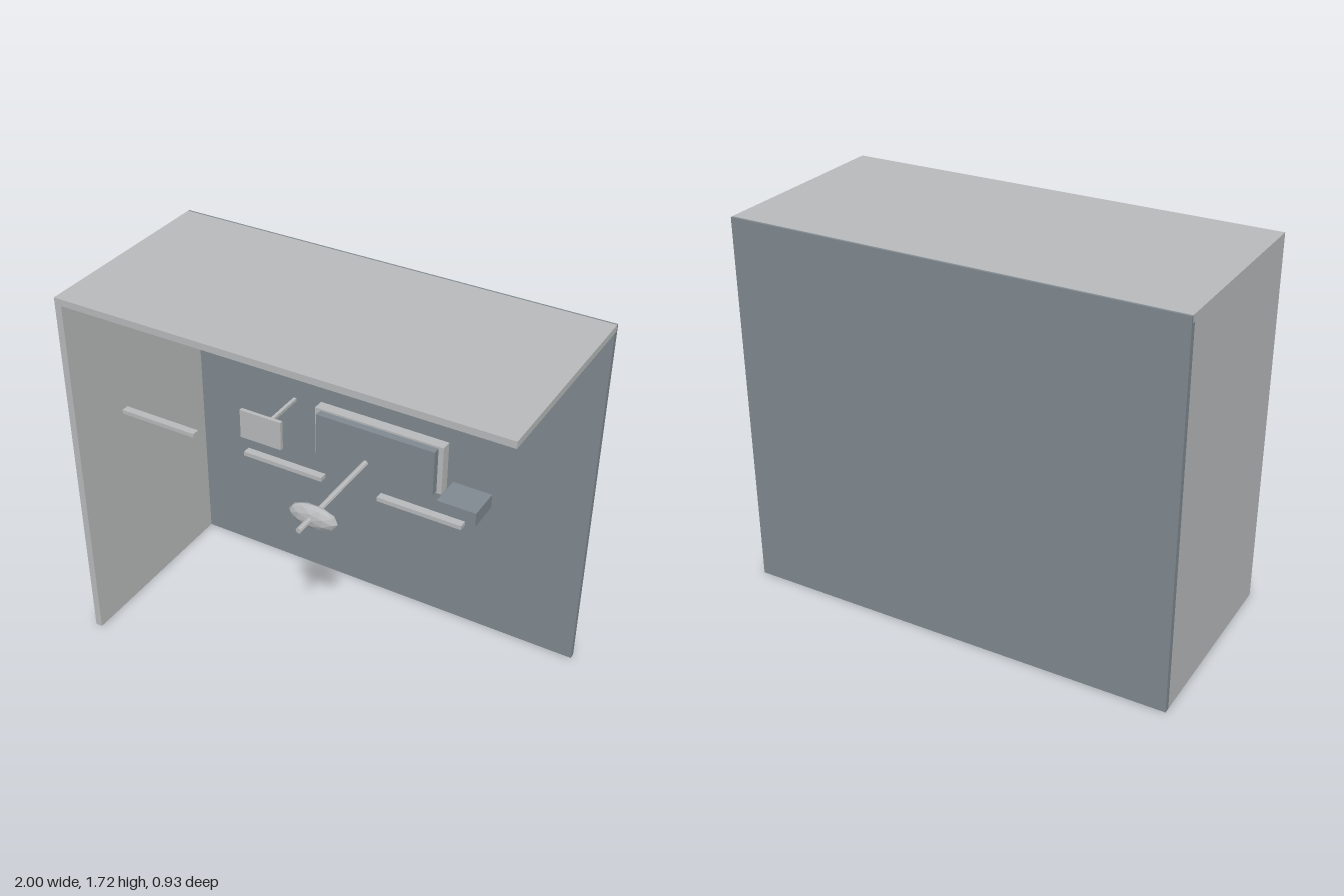
import * as THREE from 'three';

export function createModel() {
  const model = new THREE.Group();
  const paleGrey = new THREE.MeshStandardMaterial({ color: 0xb8babb, flatShading: true });
  paleGrey.name = 'paleGrey';
  const slate = new THREE.MeshStandardMaterial({ color: 0x7f8990, flatShading: true });
  slate.name = 'slate';

  function add(name, geometry, material) {
    const mesh = new THREE.Mesh(geometry, material);
    mesh.name = name;
    model.add(mesh);
    return mesh;
  }

  // Box given by its extents along each axis
  function box(name, material, [x0, x1], [y0, y1], [z0, z1]) {
    const mesh = add(name, new THREE.BoxGeometry(x1 - x0, y1 - y0, z1 - z0), material);
    mesh.position.set((x0 + x1) / 2, (y0 + y1) / 2, (z0 + z1) / 2);
    return mesh;
  }

  // Room shell: back wall, one side wall and ceiling
  box('backWall', slate, [-1, 1], [0, 1.716], [-0.465, -0.438]);
  box('sideWall', paleGrey, [-1, -0.968], [0, 1.687], [-0.438, 0.465]);
  box('ceiling', paleGrey, [-1, 1], [1.687, 1.717], [-0.455, 0.465]);

  // Three hanging rails in a row
  [-0.6, 0, 0.6].forEach((x) => {
    box('rail', paleGrey, [x - 0.178, x + 0.178], [1.197, 1.215], [0.35, 0.383]);
  });

  // Units under the ceiling
  box('ceilingCabinet', slate, [0.575, 0.905], [1.52, 1.655], [-0.438, 0.08]);
  box('upperScreen', paleGrey, [-0.84, -0.567], [1.468, 1.62], [-0.16, -0.122]);
  box('upperScreenMount', paleGrey, [-0.785, -0.622], [1.622, 1.65], [-0.21, -0.07]);
  box('ceilingMount', paleGrey, [0.232, 0.396], [1.624, 1.65], [-0.21, -0.07]);
  box('upperBox', slate, [-0.49, -0.373], [1.525, 1.61], [-0.2, -0.09]);
  box('ceilingPlateA', slate, [-0.88, -0.668], [1.658, 1.665], [-0.008, 0.105]);
  box('ceilingPlateB', slate, [0.55, 0.706], [1.664, 1.671], [0.087, 0.245]);

  // Small panel on a wall arm
  box('sidePanel', paleGrey, [-0.535, -0.325], [0.875, 1.018], [-0.13, -0.112]);
  box('sidePanelArm', paleGrey, [-0.438, -0.422], [0.938, 0.953], [-0.405, -0.13]);

  // Framed main panel
  box('mainFrame', paleGrey, [-0.2, 0.42], [0.855, 1.092], [-0.25, -0.2]);
  box('mainPanel', slate, [-0.175, 0.396], [0.863, 1.083], [-0.2, -0.165]);
  box('controlBox', slate, [0.525, 0.7], [0.971, 1.036], [-0.08, 0.068]);

  // Rod carrying a flattened faceted head
  const rod = add('rod', new THREE.CylinderGeometry(0.013, 0.013, 0.54, 8), paleGrey);
  rod.rotation.x = Math.PI / 2;
  rod.position.set(0.112, 0.976, 0.18);
  const head = add('rodHead', new THREE.IcosahedronGeometry(1, 1), paleGrey);
  head.scale.set(0.114, 0.056, 0.034);
  head.position.set(0.112, 0.974, 0.337);

  return model;
}
